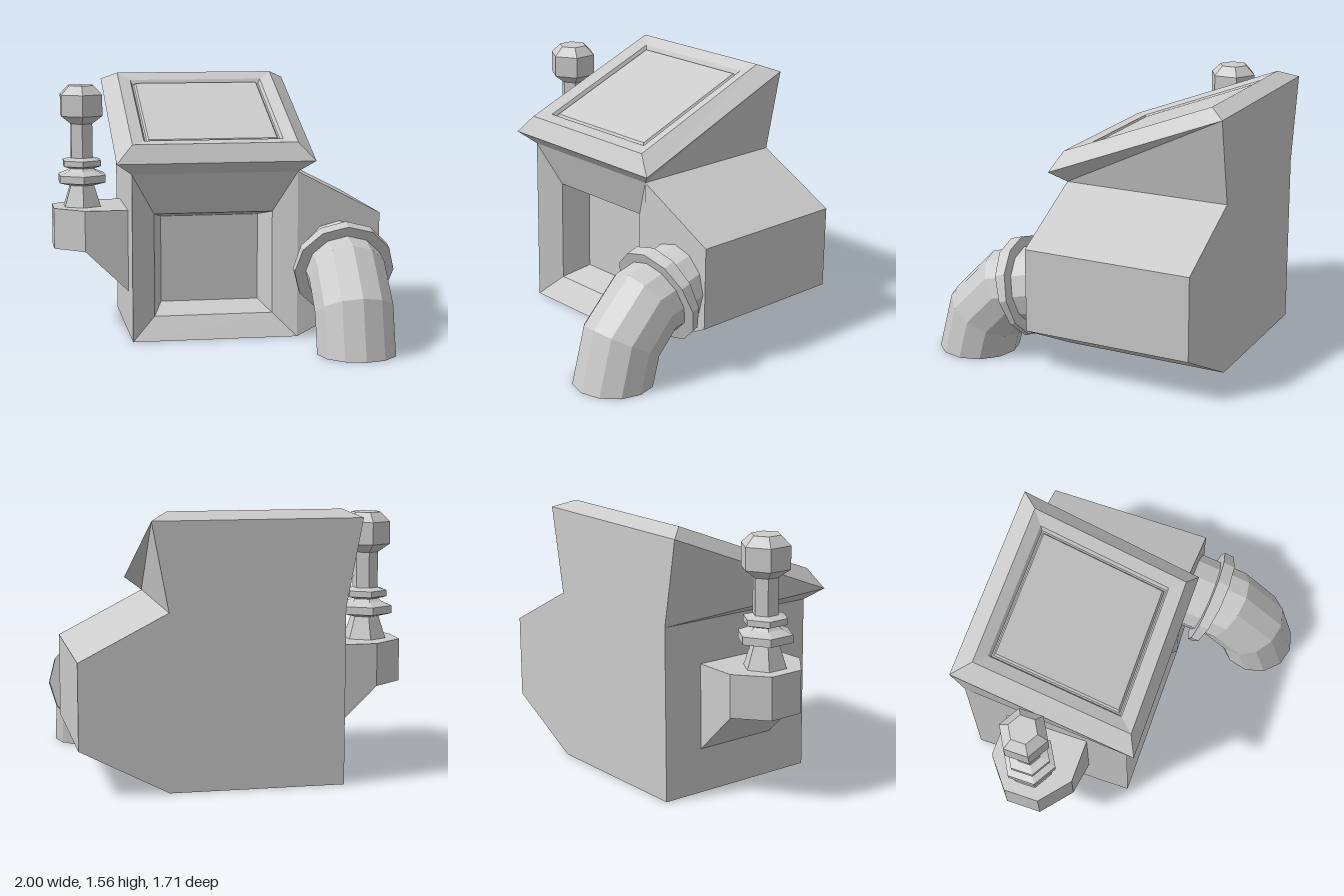
import * as THREE from 'three';

const solid = new THREE.MeshStandardMaterial({ color: 0xcccccc, flatShading: true });
const open = new THREE.MeshStandardMaterial({ color: 0xcccccc, flatShading: true, side: THREE.DoubleSide });

function part(name, geometry, material = solid) {
  const mesh = new THREE.Mesh(geometry, material);
  mesh.name = name;
  return mesh;
}

// Skin a list of rings; each ring runs counter-clockwise about the direction of travel.
function loft(rings, capStart = false, capEnd = false) {
  const pos = [];
  const tri = (...corners) => corners.forEach((p) => pos.push(...p));
  const n = rings[0].length;
  for (let i = 0; i < rings.length - 1; i++) {
    for (let j = 0; j < n; j++) {
      const k = (j + 1) % n;
      const [a, b, c, d] = [rings[i][j], rings[i][k], rings[i + 1][k], rings[i + 1][j]];
      tri(a, b, c);
      tri(a, c, d);
    }
  }
  const first = rings[0], last = rings[rings.length - 1];
  for (let j = 1; j < n - 1; j++) {
    if (capStart) tri(first[0], first[j + 1], first[j]);
    if (capEnd) tri(last[0], last[j], last[j + 1]);
  }
  const g = new THREE.BufferGeometry();
  g.setAttribute('position', new THREE.Float32BufferAttribute(pos, 3));
  g.computeVertexNormals();
  return g;
}

// Upright rectangle facing +z
const frontRect = (x0, x1, y0, y1, z) => [[x0, y0, z], [x1, y0, z], [x1, y1, z], [x0, y1, z]];

// Rectangle facing up, with separate heights at its front and back edges
const topRect = (x0, x1, zf, yf, zb, yb) => [[x0, yf, zf], [x1, yf, zf], [x1, yb, zb], [x0, yb, zb]];

// Twelve-sided ring spanning an outer and an inner point, each given as [z, y]
function pipeRing([zo, yo], [zi, yi], scale = 1, halfWidth = 0.235) {
  const ring = [];
  for (let i = 0; i < 12; i++) {
    const t = (i / 12) * Math.PI * 2;
    const c = (Math.cos(t) * scale) / 2;
    ring.push([
      0.695 - Math.sin(t) * halfWidth * scale,
      (yo + yi) / 2 + (yo - yi) * c,
      (zo + zi) / 2 + (zo - zi) * c,
    ]);
  }
  return ring;
}

export function createModel() {
  const model = new THREE.Group();

  // Cabinet with a stepped recess in its front
  model.add(part('cabinet', loft([
    frontRect(-0.56, 0.44, 0, 1.01, -0.85),
    frontRect(-0.56, 0.44, 0, 1.01, 0.155),
    frontRect(-0.42, 0.30, 0.135, 0.76, 0.07),
    frontRect(-0.36, 0.24, 0.19, 0.72, -0.1),
  ], true, true)));

  // Flared head with a sloping top, a sunken border, a groove and a panel
  const slope = (x0, x1, zf, zb, drop) => {
    const y = (z) => 1.19 + (0.18 - z) * 0.394 - drop;
    return topRect(x0, x1, zf, y(zf), zb, y(zb));
  };
  model.add(part('slopedHead', loft([
    topRect(-0.56, 0.44, 0.155, 1.01, -0.85, 1.01),
    topRect(-0.655, 0.535, 0.23, 1.08, -0.85, 1.512),
    slope(-0.557, 0.435, 0.18, -0.747, 0),
    slope(-0.48, 0.36, 0.096, -0.687, 0.02),
    slope(-0.468, 0.348, 0.085, -0.675, 0.045),
    slope(-0.458, 0.338, 0.077, -0.667, 0.045),
    slope(-0.448, 0.328, 0.067, -0.657, 0.028),
  ], false, true)));

  // Side housing that carries the pipe
  const side = new THREE.Shape([[0.44, 0], [0.945, 0.26], [0.945, 0.75], [0.44, 1.01]]
    .map(([x, y]) => new THREE.Vector2(x, y)));
  const housing = new THREE.ExtrudeGeometry(side, { depth: 1.005, bevelEnabled: false });
  housing.translate(0, 0, -0.85);
  model.add(part('sideHousing', housing));

  // Curved outlet pipe, open at the bottom
  model.add(part('outletPipe', loft([
    pipeRing([0.155, 0.705], [0.155, 0.23]),
    pipeRing([0.51, 0.61], [0.27, 0.21]),
    pipeRing([0.765, 0.35], [0.355, 0.117]),
    pipeRing([0.858, 0], [0.387, 0]),
  ]), open));

  // Wedge-shaped collar around the pipe
  const back = [[0.318, 0.726], [0.188, 0.158]];
  const front = [[0.392, 0.703], [0.208, 0.149]];
  model.add(part('pipeCollar', loft([
    pipeRing(...back, 0.76, 0.303),
    pipeRing(...back, 1, 0.303),
    pipeRing(...front, 1, 0.303),
    pipeRing(...front, 0.76, 0.303),
  ]), open));

  // Lever bracket; its underside drops toward the cabinet
  const plan = [[-0.82, -0.1], [-0.56, -0.1], [-0.56, -0.605], [-0.82, -0.605], [-1, -0.46], [-1, -0.25]];
  model.add(part('leverBracket', loft([
    plan.map(([x, z]) => [x, x > -0.6 ? 0.26 : 0.51, z]),
    plan.map(([x, z]) => [x, 0.76, z]),
  ], true, true)));

  // Six-sided lever: foot, two collars, shaft and knob, as [half width across flats, height]
  const profile = [
    [0.11, 0.76], [0.072, 0.89], [0.14, 0.91], [0.14, 0.955], [0.085, 0.98],
    [0.07, 0.995], [0.113, 1.01], [0.113, 1.045], [0.065, 1.06],
    [0.065, 1.27], [0.125, 1.32], [0.125, 1.45], [0.075, 1.505], [0, 1.505],
  ].map(([w, y]) => new THREE.Vector2(w / Math.cos(Math.PI / 6), y));
  const lever = part('lever', new THREE.LatheGeometry(profile, 6));
  lever.position.set(-0.818, 0, -0.355);
  model.add(lever);

  return model;
}
